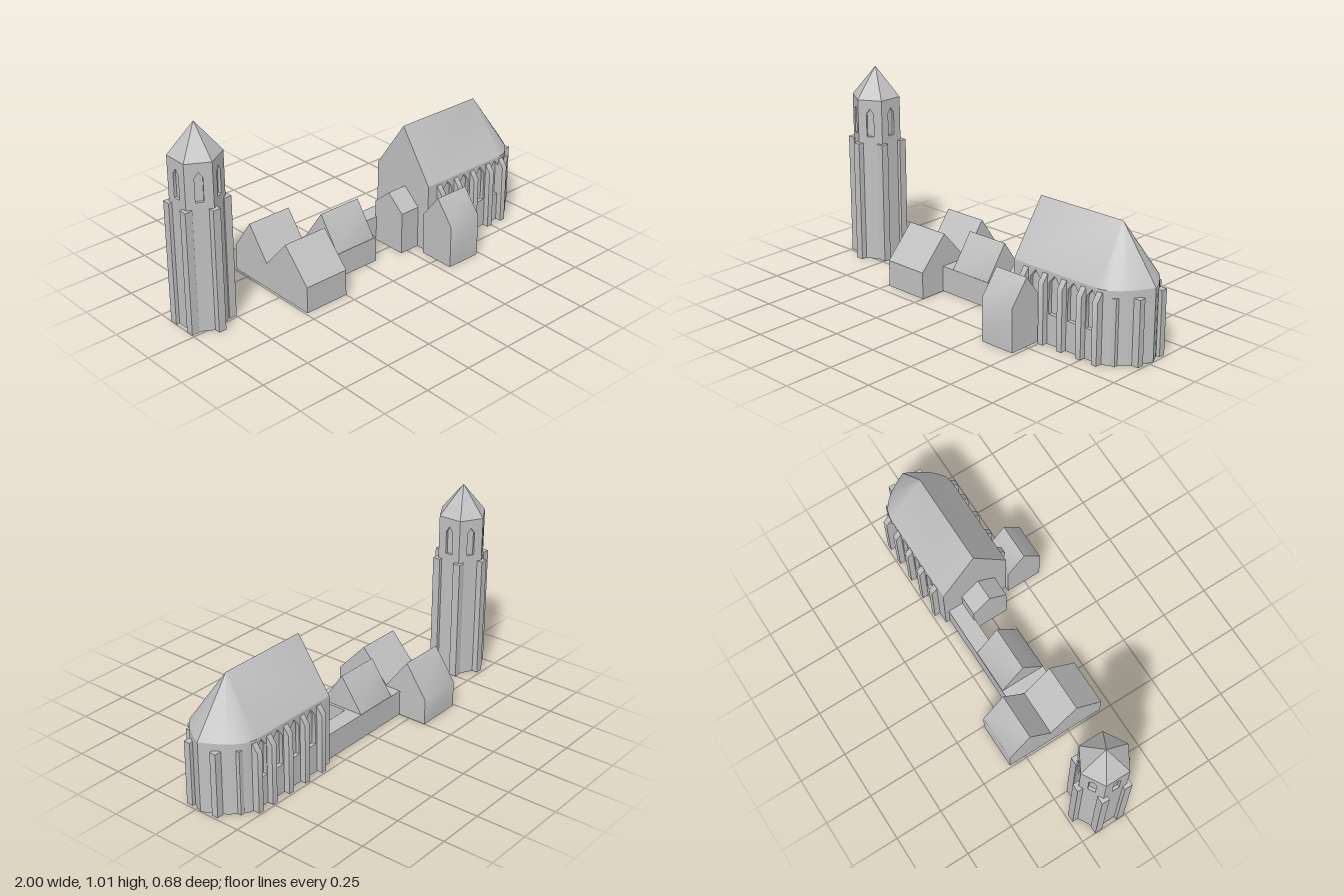
import * as THREE from 'three';
import { toCreasedNormals } from 'three/addons/utils/BufferGeometryUtils.js';

const stone = new THREE.MeshStandardMaterial({ color: 0xc0c0c0 });
stone.name = 'pale grey stone';

const CREASE = 0.7;

function add(parent, name, geometry, crease = CREASE) {
  const mesh = new THREE.Mesh(toCreasedNormals(geometry, crease), stone);
  mesh.name = name;
  parent.add(mesh);
  return mesh;
}

function box(parent, name, x0, x1, y0, y1, z0, z1) {
  const g = new THREE.BoxGeometry(x1 - x0, y1 - y0, z1 - z0);
  g.translate((x0 + x1) / 2, (y0 + y1) / 2, (z0 + z1) / 2);
  return add(parent, name, g);
}

// Sweeps a [z, y] profile along x
function sweepX(parent, name, profile, x0, x1) {
  const shape = new THREE.Shape(profile.map(([z, y]) => new THREE.Vector2(-z, y)));
  const g = new THREE.ExtrudeGeometry(shape, { depth: x1 - x0, bevelEnabled: false });
  g.rotateY(Math.PI / 2).translate(x0, 0, 0);
  return add(parent, name, g);
}

function gabled(parent, name, x0, x1, z0, z1, eave, ridge) {
  const profile = [[z0, 0], [z0, eave], [(z0 + z1) / 2, ridge], [z1, eave], [z1, 0]];
  return sweepX(parent, name, profile, x0, x1);
}

// Wall slab with pointed window openings, outer face at z = depth
function windowWall(x0, x1, height, depth, centres, halfWidth, sill, spring, apex) {
  const shape = new THREE.Shape([[x0, 0], [x1, 0], [x1, height], [x0, height]].map(p => new THREE.Vector2(...p)));
  for (const c of centres) {
    const hole = new THREE.Path();
    hole.moveTo(c - halfWidth, sill);
    hole.lineTo(c - halfWidth, spring);
    hole.lineTo(c, apex);
    hole.lineTo(c + halfWidth, spring);
    hole.lineTo(c + halfWidth, sill);
    hole.closePath();
    shape.holes.push(hole);
  }
  return new THREE.ExtrudeGeometry(shape, { depth, bevelEnabled: false });
}

function makeTower() {
  const tower = new THREE.Group();
  tower.name = 'tower';
  const R = 0.125, apothem = R * Math.cos(Math.PI / 6), recess = 0.014, top = 0.857;
  const coreR = (apothem - recess) / Math.cos(Math.PI / 6);
  add(tower, 'towerCore', new THREE.CylinderGeometry(coreR, coreR, top, 6).translate(0, top / 2, 0), 0.3);
  for (let i = 0; i < 6; i++) {
    const wall = windowWall(-R / 2, R / 2, top, recess, [0], 0.019, 0.665, 0.785, 0.812);
    wall.translate(0, 0, apothem - recess).rotateY(Math.PI / 6 + i * Math.PI / 3);
    add(tower, 'towerWall', wall);
    // square corner buttresses
    const a = i * Math.PI / 3, x = Math.sin(a) * 0.123, z = Math.cos(a) * 0.123;
    box(tower, 'towerButtress', x - 0.02, x + 0.02, 0, 0.63, z - 0.02, z + 0.02);
  }
  add(tower, 'towerRoof', new THREE.ConeGeometry(R, 0.153, 6).translate(0, top + 0.0765, 0), 0.3);
  tower.position.set(-0.873, 0, -0.094);
  return tower;
}

function makeChurch() {
  const church = new THREE.Group();
  church.name = 'church';
  const x0 = 0.32, xApse = 0.83, half = 0.182, eave = 0.36, ridge = 0.625, ridgeEnd = 0.805;
  const thick = 0.02;
  // half plan of the apse: [x, distance from the centre line]
  const apse = [[xApse, half], [0.87, 0.17], [0.905, 0.143], [0.935, 0.112], [0.96, 0.075], [0.982, 0.037], [0.999, 0]];

  // Nave: inner block and window walls on both sides
  box(church, 'naveCore', x0, xApse, 0, eave, -half + thick, half - thick);
  for (const side of [1, -1]) {
    const wall = windowWall(x0, xApse, eave, thick, [0.453, 0.567, 0.68, 0.787], 0.032, 0.15, 0.305, 0.345);
    wall.translate(0, 0, side > 0 ? half - thick : -half);
    add(church, 'naveWall', wall);
  }

  // Apse walls
  const plan = [...apse, ...apse.slice(0, -1).reverse().map(([x, d]) => [x, -d])];
  const apseGeo = new THREE.ExtrudeGeometry(
    new THREE.Shape(plan.map(([x, d]) => new THREE.Vector2(x, d))), { depth: eave, bevelEnabled: false });
  apseGeo.rotateX(-Math.PI / 2);
  add(church, 'apse', apseGeo);

  // Roof: each eave point rises to the ridge, the apse points gather at its end
  const pos = [];
  const eaves = [[x0, half], [ridgeEnd, half], ...apse];
  for (const side of [1, -1]) {
    const tri = (a, b, c) => pos.push(...(side > 0 ? [a, b, c] : [a, c, b]).flat());
    for (let i = 0; i < eaves.length - 1; i++) {
      const [xa, da] = eaves[i], [xb, db] = eaves[i + 1];
      const a = [xa, eave, side * da], b = [xb, eave, side * db];
      const ra = [Math.min(xa, ridgeEnd), ridge, 0], rb = [Math.min(xb, ridgeEnd), ridge, 0];
      tri(a, b, rb);
      if (ra[0] !== rb[0]) tri(a, rb, ra);
    }
    tri([x0, eave, 0], [x0, eave, side * half], [x0, ridge, 0]); // west gable
  }
  const roof = new THREE.BufferGeometry();
  roof.setAttribute('position', new THREE.Float32BufferAttribute(pos, 3));
  add(church, 'churchRoof', roof);

  // Buttresses with sloping tops along the nave, plain ones around the apse
  for (const side of [1, -1]) {
    const profile = [[0.16, 0], [0.212, 0], [0.212, 0.305], [0.182, 0.345], [0.16, 0.345]]
      .map(([z, y]) => [z * side, y]);
    for (const x of [0.395, 0.512, 0.625, 0.737, 0.83])
      sweepX(church, 'naveButtress', profile, x - 0.015, x + 0.015);
    for (const [x, d] of [[0.889, 0.143], [0.97, 0.077]])
      box(church, 'apseButtress', x - 0.018, x + 0.018, 0, 0.325, side * d - 0.017, side * d + 0.017);
  }
  church.position.z = -0.028;
  return church;
}

export function createModel() {
  const model = new THREE.Group();
  model.name = 'abbey';
  model.add(makeTower(), makeChurch());

  // Double gabled west range
  sweepX(model, 'westRange', [[-0.342, 0], [-0.342, 0.135], [-0.227, 0.3], [-0.104, 0.137],
    [0.04, 0.3], [0.192, 0.137], [0.192, 0]], -0.49, -0.25);

  // Low court with a gabled hall, and the passage to the church
  box(model, 'lowCourt', -0.25, 0.07, 0, 0.132, -0.188, 0.052);
  gabled(model, 'hall', -0.18, 0.055, -0.186, 0.05, 0.134, 0.303);
  box(model, 'passage', 0.07, 0.32, 0, 0.132, -0.188, -0.1);

  // Chapel at the west front and the porch beside the nave
  gabled(model, 'chapel', 0.21, 0.32, -0.107, 0.085, 0.22, 0.303);
  gabled(model, 'porch', 0.295, 0.482, 0.15, 0.34, 0.22, 0.343);
  return model;
}
